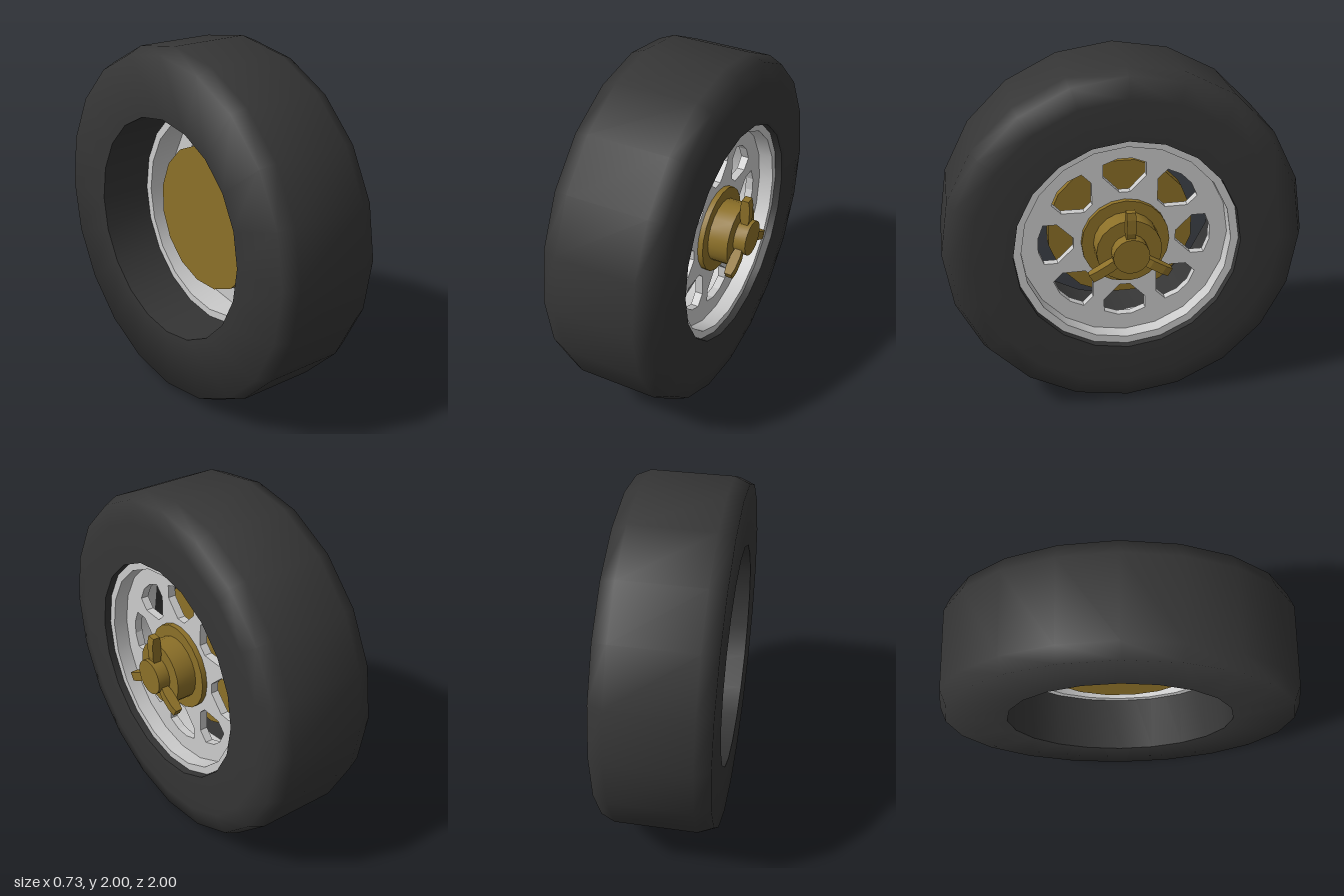
import * as THREE from 'three';
import { toCreasedNormals } from 'three/addons/utils/BufferGeometryUtils.js';

const rubber = new THREE.MeshStandardMaterial({ color: 0x353535 });
const metal = new THREE.MeshStandardMaterial({ color: 0xcccccc });
const brass = new THREE.MeshStandardMaterial({ color: 0x8c7028 });

// Turned part around the x axis; profile is a list of [radius, x]
function turned(name, profile, material, sides = 20, crease = 0.6, start = 0) {
  const points = profile.map(([r, x]) => new THREE.Vector2(r, x));
  const lathe = new THREE.LatheGeometry(points, sides, start);
  lathe.rotateZ(-Math.PI / 2);
  const mesh = new THREE.Mesh(toCreasedNormals(lathe, crease), material);
  mesh.name = name;
  return mesh;
}

// Spoked disc: a 20-sided plate with eight seven-cornered windows
function rimDisc() {
  const shape = new THREE.Shape();
  const corners = [];
  for (let i = 0; i < 20; i++) {
    const a = (i / 20) * Math.PI * 2;
    corners.push(new THREE.Vector2(Math.cos(a) * 0.585, Math.sin(a) * 0.585));
  }
  shape.setFromPoints(corners);
  const windowOutline = [
    [-0.03, 0.285], [0.03, 0.285], [0.118, 0.375], [0.118, 0.45],
    [0.04, 0.48], [-0.04, 0.48], [-0.118, 0.45], [-0.118, 0.375],
  ];
  for (let i = 0; i < 8; i++) {
    const pts = windowOutline.map(([x, y]) =>
      new THREE.Vector2(x, y).rotateAround(new THREE.Vector2(), (i * Math.PI) / 4));
    shape.holes.push(new THREE.Path(pts));
  }
  const geometry = new THREE.ExtrudeGeometry(shape, { depth: 0.045, bevelEnabled: false });
  geometry.rotateY(Math.PI / 2);
  geometry.translate(0.1, 0, 0);
  const mesh = new THREE.Mesh(geometry, metal);
  mesh.name = 'rimDisc';
  return mesh;
}

// One ear of the wing nut, pointing up
function earGeometry() {
  const outline = [
    [0.305, 0.07], [0.335, 0.07], [0.347, 0.13], [0.347, 0.21],
    [0.34, 0.25], [0.3, 0.25], [0.293, 0.21], [0.293, 0.13],
  ].map(([x, y]) => new THREE.Vector2(x, y));
  const geometry = new THREE.ExtrudeGeometry(new THREE.Shape(outline), { depth: 0.05, bevelEnabled: false });
  geometry.translate(0, 0, -0.025);
  return geometry;
}

export function createModel() {
  const model = new THREE.Group();
  model.name = 'wheel';
  const wheel = new THREE.Group();
  wheel.name = 'wheelAssembly';
  wheel.position.y = 1;
  model.add(wheel);

  // Tyre with softened shoulders and a straight bore
  wheel.add(turned('tyre', [
    [0.625, -0.365], [0.965, -0.365], [1, -0.28], [1, 0.17],
    [0.965, 0.25], [0.85, 0.27], [0.625, 0.27], [0.625, -0.365],
  ], rubber, 20, 1.25));

  // Rim: outer band and windowed disc
  wheel.add(turned('rimBand', [
    [0.58, -0.06], [0.624, -0.06], [0.624, 0.23], [0.58, 0.23], [0.58, -0.06],
  ], metal));
  wheel.add(rimDisc());

  // Brake drum behind the windows
  wheel.add(turned('brakeDrum', [
    [0, -0.09], [0.417, -0.09], [0.417, 0], [0, 0],
  ], brass, 16, 0.6, Math.PI / 16));

  // Stepped hub
  wheel.add(turned('hub', [
    [0, 0], [0.18, 0], [0.18, 0.12], [0.245, 0.12], [0.245, 0.175],
    [0.18, 0.175], [0.18, 0.29], [0, 0.29],
  ], brass));

  // Wing nut: centre and three ears
  const nut = new THREE.Group();
  nut.name = 'wingNut';
  nut.add(turned('nutCentre', [[0, 0.28], [0.1, 0.28], [0.1, 0.36], [0, 0.36]], brass));
  const ear = earGeometry();
  for (let i = 0; i < 3; i++) {
    const mesh = new THREE.Mesh(ear, brass);
    mesh.name = 'nutEar';
    mesh.rotation.x = (i * Math.PI * 2) / 3;
    nut.add(mesh);
  }
  wheel.add(nut);
  return model;
}
